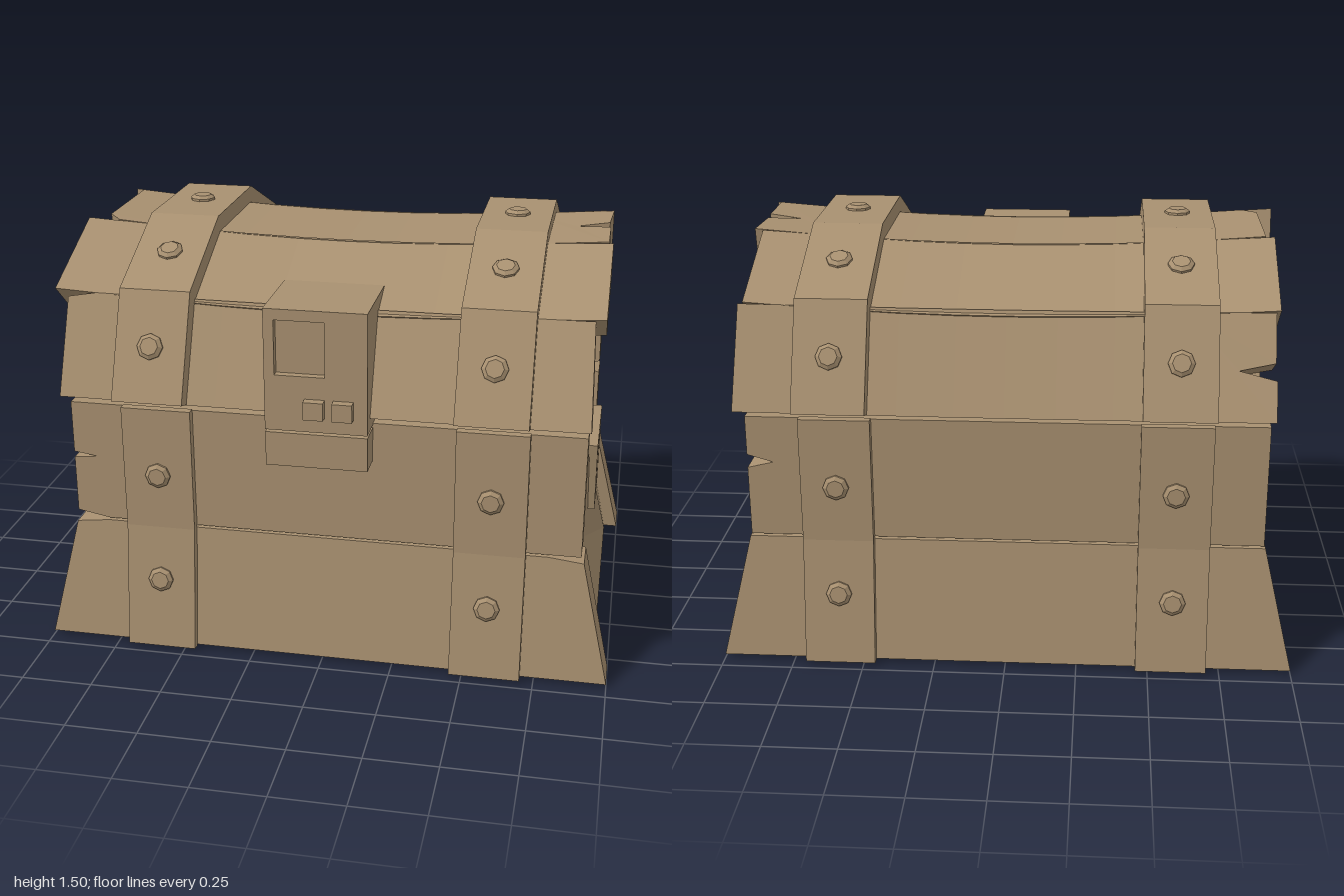
import * as THREE from 'three';
import { mergeGeometries } from 'three/addons/utils/BufferGeometryUtils.js';

const material = new THREE.MeshStandardMaterial({ color: 0xa89070, flatShading: true });

// Side profiles as [z, y], running from the front bottom over the top to the back bottom
const lidInner = [[0.6, 0.915], [0.48, 1.205], [0.195, 1.33], [-0.2, 1.33], [-0.485, 1.205], [-0.61, 0.915]];
const lidPlank = [[0.73, 0.953], [0.58, 1.29], [0.22, 1.452], [-0.22, 1.452], [-0.59, 1.29], [-0.745, 0.953]];
const lidStrap = [[0.755, 0.962], [0.605, 1.315], [0.23, 1.48], [-0.23, 1.48], [-0.615, 1.315], [-0.77, 0.962]];
const baseInner = [[0.562, 0.005], [0.507, 0.46], [0.507, 0.905]];
const basePlank = [[0.692, 0.008], [0.636, 0.46], [0.636, 0.905]];
const baseStrap = [[0.724, 0.012], [0.668, 0.46], [0.668, 0.905]];
const toBack = (profile) => profile.map(([z, y]) => [-z, y]).reverse();
const lerp = THREE.MathUtils.lerp;

function add(group, name, geometry) {
  const mesh = new THREE.Mesh(geometry, material);
  mesh.name = name;
  group.add(mesh);
  return mesh;
}

const shapeOf = (points) => new THREE.Shape(points.map(([x, y]) => new THREE.Vector2(x, y)));

// Extrudes a [z, y] outline along x, with an optional hole
function extrudeX(points, x0, x1, hole) {
  const flip = (list) => list.map(([z, y]) => [-z, y]);
  const shape = shapeOf(flip(points));
  if (hole) shape.holes.push(shapeOf(flip(hole)));
  return new THREE.ExtrudeGeometry(shape, { depth: x1 - x0, bevelEnabled: false })
    .rotateY(Math.PI / 2).translate(x0, 0, 0);
}

// Plank on one facet. The ends are lists of [x, t], t going across the plank;
// left runs from t = 1 to 0 and right from t = 0 to 1. The middle sags inward.
function plankGeometry(inner, outer, left, right, sag) {
  const cuts = [-0.6, -0.36, -0.17, 0, 0.17, 0.36, 0.6];
  const outlines = [
    [[cuts[0], 0], [cuts[0], 1], ...left],
    [...right, [cuts[6], 1], [cuts[6], 0]],
  ];
  for (let i = 0; i < 6; i++) {
    outlines.push([[cuts[i], 0], [cuts[i + 1], 0], [cuts[i + 1], 1], [cuts[i], 1]]);
  }
  const dz = outer[1][0] - outer[0][0], dy = outer[1][1] - outer[0][1];
  const length = Math.hypot(dz, dy);
  const pieces = outlines.map((outline) => {
    const g = new THREE.ExtrudeGeometry(shapeOf(outline), { depth: 1, bevelEnabled: false });
    const p = g.attributes.position;
    for (let i = 0; i < p.count; i++) {
      const x = p.getX(i), t = lerp(0.01, 0.99, p.getY(i)), d = p.getZ(i);
      const dip = sag * Math.max(0, 1 - (x / 0.9) ** 2);
      const at = (k) => lerp(lerp(inner[0][k], inner[1][k], t), lerp(outer[0][k], outer[1][k], t), d);
      p.setXYZ(i, x, at(1) + (dz / length) * dip, at(0) - (dy / length) * dip);
    }
    return g;
  });
  const merged = mergeGeometries(pieces);
  merged.computeVertexNormals();
  return merged;
}

// Eight-sided rivet on a facet of a strap
function addRivet(group, x, a, b, t) {
  const along = new THREE.Vector3(0, b[1] - a[1], b[0] - a[0]).normalize();
  const normal = new THREE.Vector3(1, 0, 0).cross(along);
  const rivet = add(group, 'rivet', mergeGeometries([
    new THREE.CylinderGeometry(0.045, 0.045, 0.016, 8),
    new THREE.CylinderGeometry(0.031, 0.045, 0.01, 8).translate(0, 0.013, 0),
  ]));
  rivet.quaternion.setFromUnitVectors(new THREE.Vector3(0, 1, 0), normal);
  rivet.position.set(x, lerp(a[1], b[1], t), lerp(a[0], b[0], t));
}

function addPlanks(group, name, inner, outer, ends, sag) {
  ends.forEach(([left, right], i) => add(group, name,
    plankGeometry(inner.slice(i, i + 2), outer.slice(i, i + 2), left, right, sag)));
}

function addStraps(group, name, inner, outer, rivetSpots) {
  for (const x of [-0.58, 0.58]) {
    add(group, name, extrudeX([...outer, ...[...inner].reverse()], x - 0.123, x + 0.123));
    rivetSpots.forEach((t, i) => addRivet(group, x, outer[i], outer[i + 1], t));
  }
}

function box(x0, x1, y0, y1, z0, z1) {
  return new THREE.BoxGeometry(x1 - x0, y1 - y0, z1 - z0)
    .translate((x0 + x1) / 2, (y0 + y1) / 2, (z0 + z1) / 2);
}

export function createModel() {
  const chest = new THREE.Group();
  chest.name = 'chest';

  // Base: a box that flares out below the middle
  const base = new THREE.Group();
  base.name = 'base';
  const body = extrudeX([[0.56, 0], [0.505, 0.46], [0.505, 0.908], [-0.505, 0.908], [-0.505, 0.46], [-0.56, 0]], -1, 1);
  const p = body.attributes.position;
  for (let i = 0; i < p.count; i++) {
    p.setX(i, p.getX(i) * lerp(0.95, 0.86, Math.min(1, p.getY(i) / 0.46)));
  }
  body.computeVertexNormals();
  add(base, 'body', body);

  // Base planks, with splits and chipped corners
  addPlanks(base, 'frontPlank', baseInner, basePlank, [
    [[[-0.78, 1], [-0.9, 0.97], [-1, 0]], [[1, 0], [0.9, 0.97], [0.78, 1]]],
    [[[-0.895, 1], [-0.895, 0.57], [-0.81, 0.54], [-0.895, 0.52], [-0.895, 0.05], [-0.78, 0]], [[0.89, 0], [0.89, 1]]],
  ], 0);
  addPlanks(base, 'backPlank', toBack(baseInner), toBack(basePlank), [
    [[[-0.89, 1], [-0.89, 0]], [[0.89, 0], [0.89, 0.32], [0.8, 0.38], [0.89, 0.43], [0.89, 1]]],
    [[[-1, 1], [-0.895, 0]], [[0.895, 0], [1, 1]]],
  ], 0);
  addStraps(base, 'frontStrap', basePlank, baseStrap, [0.57, 0.45]);
  addStraps(base, 'backStrap', toBack(basePlank), toBack(baseStrap), [0.55, 0.43]);

  // Side handles
  const grip = [[-0.2, 0.692], [0.2, 0.692], [0.138, 0.412], [-0.138, 0.412]];
  const opening = [[-0.128, 0.635], [0.128, 0.635], [0.092, 0.468], [-0.092, 0.468]];
  add(base, 'leftHandle', extrudeX(grip, 0.85, 0.915, opening));
  add(base, 'rightHandle', extrudeX(grip, -0.918, -0.85, opening));
  add(base, 'catchPlate', box(-0.175, 0.172, 0.765, 0.885, 0.6, 0.735));
  chest.add(base);

  // Lid: faceted arch with sagging planks
  const lid = new THREE.Group();
  lid.name = 'lid';
  add(lid, 'lidCore', extrudeX(lidInner.map(([z, y]) => [z, y > 1 ? y - 0.004 : y]), -0.85, 0.85));
  addPlanks(lid, 'lidPlank', lidInner, lidPlank, [
    [[[-0.8, 1], [-0.895, 0.95], [-0.895, 0]], [[0.9, 0], [0.89, 1]]],
    [[[-0.94, 1], [-0.945, 0]], [[0.925, 0], [0.925, 1]]],
    [[[-0.88, 1], [-0.88, 0.13], [-0.83, 0]], [[0.91, 0], [0.91, 0.46], [0.79, 0.52], [0.905, 0.6], [0.915, 1]]],
    [[[-0.905, 1], [-0.91, 0]], [[0.885, 0], [0.885, 1]]],
    [[[-0.895, 1], [-0.895, 0.62], [-0.77, 0.53], [-0.89, 0.46], [-0.89, 0]], [[0.9, 0], [0.905, 1]]],
  ], 0.043);
  addStraps(lid, 'lidStrap', lidInner, lidStrap, [0.5, 0.5, 0.5, 0.5, 0.5]);

  // Lock with a recessed panel and two small tabs
  const lock = new THREE.Group();
  lock.name = 'lock';
  add(lock, 'lockBody', extrudeX([[0.71, 0.895], [0.71, 1.318], [0.42, 1.318], [0.58, 0.92], [0.6, 0.895]], -0.175, 0.172));
  const face = shapeOf([[-0.175, 0.895], [0.172, 0.895], [0.172, 1.318], [-0.175, 1.318]]);
  face.holes.push(shapeOf([[-0.14, 1.09], [-0.14, 1.28], [0.03, 1.28], [0.03, 1.09]]));
  add(lock, 'lockFace', new THREE.ExtrudeGeometry(face, { depth: 0.028, bevelEnabled: false }).translate(0, 0, 0.71));
  for (const x of [-0.005, 0.092]) {
    add(lock, 'lockTab', box(x - 0.034, x + 0.034, 0.95, 1.012, 0.7, 0.77));
  }
  lid.add(lock);
  chest.add(lid);
  return chest;
}
